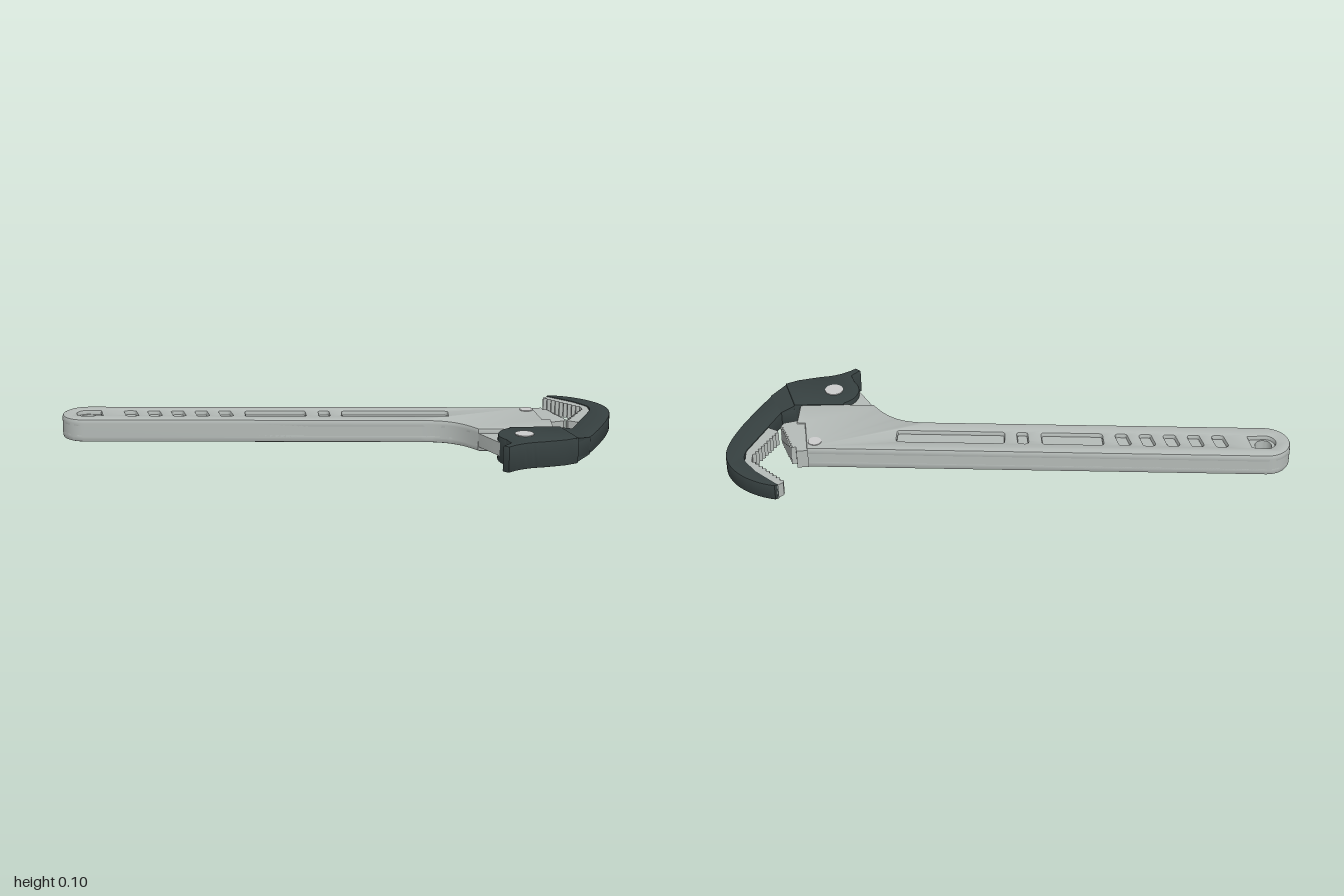
import * as THREE from 'three';
import { toCreasedNormals } from 'three/addons/utils/BufferGeometryUtils.js';

const grey = new THREE.MeshStandardMaterial({ color: 0xb4bab7 });
const steel = new THREE.MeshStandardMaterial({ color: 0xcccccc });
const dark = new THREE.MeshStandardMaterial({ color: 0x364040 });
const MID = 0.051; // middle height of the tool

// Flat part: outline in (x, z), raised from y0 to y1 with bevelled edges
function plate(shape, y0, y1, bevel = 0) {
  const geo = new THREE.ExtrudeGeometry(shape, {
    depth: y1 - y0 - 2 * bevel, curveSegments: 14, bevelEnabled: bevel > 0,
    bevelSize: bevel, bevelThickness: bevel, bevelOffset: -bevel, bevelSegments: 2,
  });
  geo.rotateX(Math.PI / 2).translate(0, y1 - bevel, 0);
  return toCreasedNormals(geo, 0.55);
}

const poly = (pts) => new THREE.Shape(pts.map(([x, z]) => new THREE.Vector2(x, z)));

// Zigzag points from a to b, valleys cut to the given side
function teeth(a, b, count, depth) {
  const dx = b[0] - a[0], dz = b[1] - a[1], len = Math.hypot(dx, dz), pts = [];
  for (let i = 0; i <= 2 * count; i++) {
    const t = i / (2 * count), d = i % 2 ? depth : 0;
    pts.push([a[0] + dx * t - (dz / len) * d, a[1] + dz * t + (dx / len) * d]);
  }
  return pts;
}

// Slightly slanted pocket with rounded corners
function pocket(x0, x1, slant = 0) {
  const z0 = -0.1, z1 = -0.037, r = 0.011;
  const p = new THREE.Path();
  p.moveTo(x0 + r, z0);
  p.lineTo(x1 - r, z0);
  p.quadraticCurveTo(x1, z0, x1, z0 + r);
  p.lineTo(x1 + slant, z1 - r);
  p.quadraticCurveTo(x1 + slant, z1, x1 + slant - r, z1);
  p.lineTo(x0 + slant + r, z1);
  p.quadraticCurveTo(x0 + slant, z1, x0 + slant, z1 - r);
  p.lineTo(x0, z0 + r);
  p.quadraticCurveTo(x0, z0, x0 + r, z0);
  return p;
}

function handleOutline() {
  const s = new THREE.Shape();
  s.moveTo(0.3, 0.02);
  s.bezierCurveTo(0.41, 0.02, 0.45, 0.06, 0.5, 0.125);
  s.lineTo(0.77, 0.125);
  s.lineTo(0.77, 0);
  s.lineTo(0.74, 0);
  s.lineTo(0.715, -0.155);
  s.lineTo(-0.9125, -0.155);
  s.absarc(-0.9125, -0.0675, 0.0875, -Math.PI / 2, -1.5 * Math.PI, true);
  s.closePath();
  return s;
}

export function createModel() {
  const model = new THREE.Group();
  const add = (parent, name, geo, mat) => {
    const m = new THREE.Mesh(geo, mat);
    m.name = name;
    parent.add(m);
    return m;
  };
  const disc = (parent, name, x, z, r, y0, y1, mat) => {
    const m = add(parent, name, new THREE.CylinderGeometry(r, r, y1 - y0, 28), mat);
    m.position.set(x, (y0 + y1) / 2, z);
  };

  // Handle: solid web between two pocketed skins
  const handle = new THREE.Group();
  handle.name = 'handle';
  model.add(handle);

  const web = handleOutline();
  web.holes.push(new THREE.Path().absarc(-0.905, -0.07, 0.03, 0, Math.PI * 2));
  add(handle, 'handleWeb', plate(web, 0.027, 0.078), grey);

  const skin = handleOutline();
  const eye = new THREE.Path();
  eye.absarc(-0.91, -0.0695, 0.036, Math.PI / 2, 1.5 * Math.PI);
  eye.lineTo(-0.865, -0.1);
  eye.lineTo(-0.852, -0.04);
  eye.closePath();
  skin.holes.push(eye);
  for (let i = 0; i < 5; i++) skin.holes.push(pocket(-0.776 + i * 0.086, -0.736 + i * 0.086, 0.012));
  skin.holes.push(pocket(-0.335, -0.12, 0.004), pocket(-0.068, -0.033, 0.004), pocket(0.018, 0.4));
  add(handle, 'topSkin', plate(skin, 0.06, 0.095, 0.01), grey);
  add(handle, 'bottomSkin', plate(skin, 0.009, 0.045, 0.01), grey);

  // Thin lug that carries the pivot
  add(handle, 'pivotLug', plate(poly([[0.49, 0.1], [0.505, 0.135], [0.57, 0.24], [0.65, 0.25],
    [0.7, 0.2], [0.75, 0.1]]), 0.028, 0.077), grey);

  // Fixed jaw insert with teeth, held by a rivet
  const fixedTeeth = teeth([0.772, -0.145], [0.825, -0.02], 9, 0.01);
  add(model, 'fixedJaw', plate(poly([[0.71, -0.16], [0.75, -0.165], [0.755, -0.14], ...fixedTeeth,
    [0.815, 0.005], [0.745, 0.03], [0.74, 0]]), 0.016, 0.088), grey);
  disc(model, 'jawRivet', 0.69, -0.115, 0.024, 0.006, 0.098, steel);

  // Swinging hook jaw
  const hook = new THREE.Group();
  hook.name = 'hookJaw';
  model.add(hook);

  const arm = new THREE.Shape();
  arm.moveTo(0.79, -0.352);
  arm.lineTo(0.802, -0.36);
  arm.bezierCurveTo(0.9, -0.345, 1.0, -0.265, 1.0, -0.16);
  arm.bezierCurveTo(1.0, -0.11, 0.985, -0.06, 0.965, 0);
  for (const [x, z] of [[0.93, 0.09], [0.885, 0.19], [0.83, 0.25], [0.78, 0.27], [0.78, 0.108],
    [0.835, 0.08], [0.87, -0.01], [0.925, -0.15]]) arm.lineTo(x, z);
  arm.quadraticCurveTo(0.94, -0.2, 0.915, -0.23);
  arm.lineTo(0.88, -0.275);
  arm.closePath();
  add(hook, 'hookArm', plate(arm, 0.02, 0.082, 0.004), dark);

  // Pivot block with thumb spur
  const block = new THREE.Shape();
  block.moveTo(0.61, 0.115);
  for (const [x, z] of [[0.72, 0.11], [0.79, 0.105], [0.84, 0.245], [0.795, 0.27], [0.71, 0.295]]) block.lineTo(x, z);
  block.quadraticCurveTo(0.64, 0.305, 0.59, 0.355);
  block.lineTo(0.57, 0.34);
  block.lineTo(0.6, 0.305);
  block.lineTo(0.585, 0.27);
  block.absarc(0.655, 0.205, 0.093, 2.4, 4.2);
  block.closePath();
  add(hook, 'pivotBlock', plate(block, 0.004, 0.099, 0.005), dark);

  // Taper from the block's height down to the arm's
  const taper = plate(poly([[0.78, 0.11], [0.835, 0.08], [0.888, 0.185], [0.83, 0.25]]), 0.006, 0.097);
  const p = taper.attributes.position;
  for (let i = 0; i < p.count; i++) {
    if (p.getX(i) > 0.832) p.setY(i, MID + Math.sign(p.getY(i) - MID) * 0.031);
  }
  taper.computeVertexNormals();
  add(hook, 'armTaper', taper, dark);

  // Toothed lining on the inside of the hook
  const lining = [
    ...teeth([0.775, -0.335], [0.9, -0.22], 9, 0.01),
    ...teeth([0.905, -0.175], [0.835, -0.03], 9, 0.01),
    [0.872, -0.01], [0.93, -0.15], [0.925, -0.22], [0.885, -0.275], [0.794, -0.355],
  ];
  add(hook, 'hookTeeth', plate(poly(lining), 0.024, 0.078), grey);

  disc(hook, 'pivotPin', 0.655, 0.205, 0.033, 0, 0.102, steel);
  return model;
}
